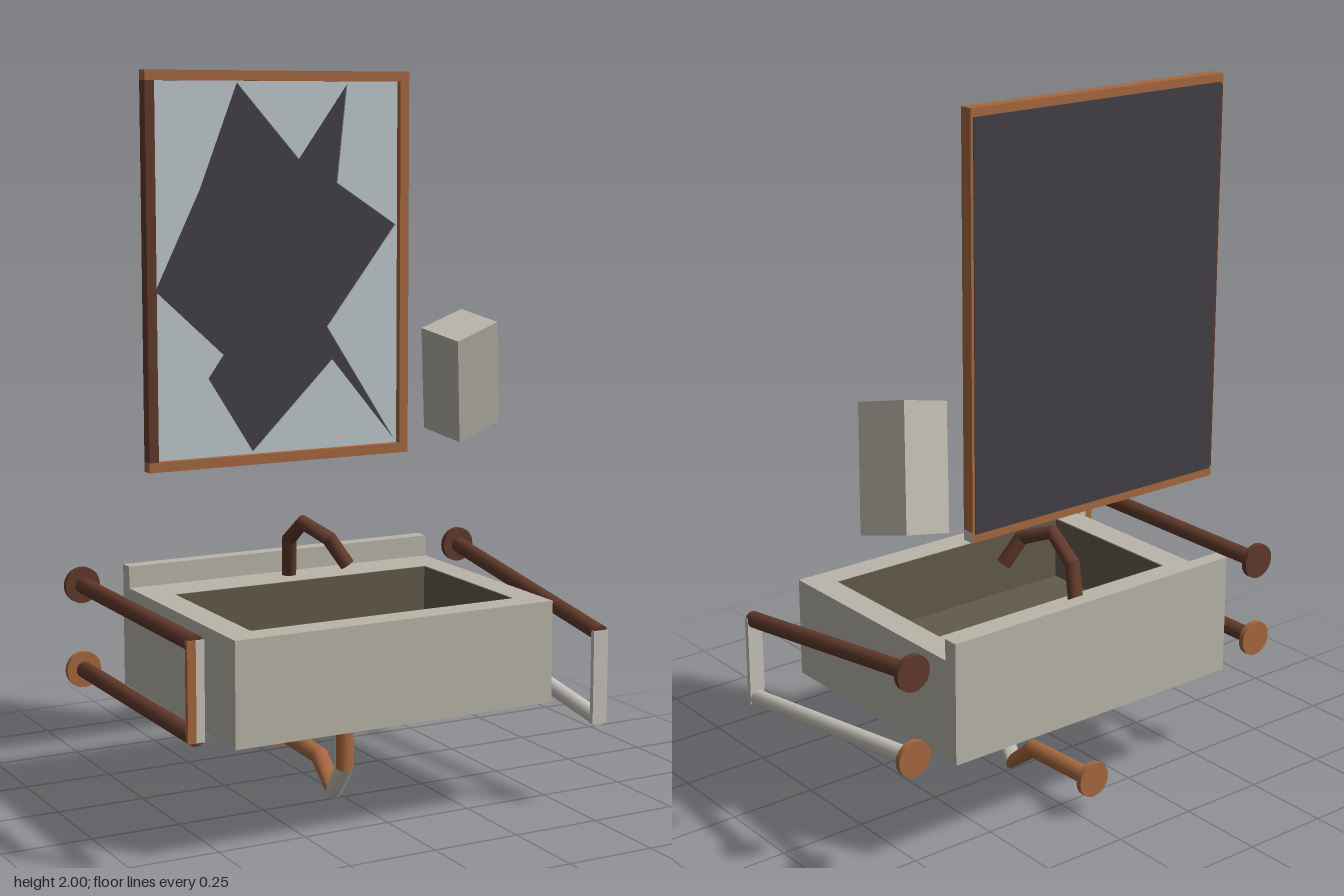
import * as THREE from 'three';
import { toCreasedNormals } from 'three/addons/utils/BufferGeometryUtils.js';

const mat = (name, color) => {
  const m = new THREE.MeshStandardMaterial({ color });
  m.name = name;
  return m;
};
const V = (x, y, z) => new THREE.Vector3(x, y, z);

export function createModel() {
  const root = new THREE.Group();
  const stone = mat('stone', 0xb9b5a9);
  const steel = mat('bareSteel', 0xc6c3b9);
  const copper = mat('copperRust', 0xa6683f);
  const brown = mat('darkRust', 0x613a2b);
  const basinMat = mat('basinGrime', 0x625b4a);
  const glass = mat('mirrorGlass', 0xbec8cc);
  const backing = mat('mirrorBacking', 0x424046);

  const group = (name) => {
    const g = new THREE.Group();
    g.name = name;
    root.add(g);
    return g;
  };
  const add = (parent, name, geo, material) => {
    const m = new THREE.Mesh(geo, material);
    m.name = name;
    parent.add(m);
    return m;
  };
  // Box given by its minimum and maximum corners
  const block = (parent, name, a, b, material) => {
    const m = add(parent, name, new THREE.BoxGeometry(b[0] - a[0], b[1] - a[1], b[2] - a[2]), material);
    m.position.set((a[0] + b[0]) / 2, (a[1] + b[1]) / 2, (a[2] + b[2]) / 2);
    return m;
  };
  // Pipe with one piece per segment, joined on the bisecting planes.
  // Each material entry is a material, or a list of [material, start, length] arcs.
  const pipe = (parent, name, pts, r, mats) => {
    const frames = pts.map((p, i) => {
      const t = V(0, 0, 0);
      if (i > 0) t.add(p.clone().sub(pts[i - 1]).normalize());
      if (i < pts.length - 1) t.add(pts[i + 1].clone().sub(p).normalize());
      t.normalize();
      const v = V(1, 0, 0).cross(t).normalize();
      return { p, u: t.clone().cross(v), v };
    });
    for (let i = 0; i < pts.length - 1; i++) {
      const entry = mats[i % mats.length];
      const arcs = Array.isArray(entry) ? entry : [[entry, 0, Math.PI * 2]];
      for (const [material, start, length] of arcs) {
        const geo = new THREE.CylinderGeometry(r, r, 1, 14, 1, false, start, length);
        const pos = geo.attributes.position;
        for (let k = 0; k < pos.count; k++) {
          const f = frames[pos.getY(k) > 0 ? i + 1 : i];
          const q = f.p.clone().addScaledVector(f.u, pos.getX(k)).addScaledVector(f.v, pos.getZ(k));
          pos.setXYZ(k, q.x, q.y, q.z);
        }
        add(parent, name, toCreasedNormals(geo, 0.9), material);
      }
    }
  };
  // Round wall plate
  const flange = (parent, x, y, material) => {
    const geo = new THREE.CylinderGeometry(0.05, 0.05, 0.016, 20).rotateX(Math.PI / 2);
    add(parent, 'wallFlange', toCreasedNormals(geo, 0.9), material).position.set(x, y, -0.347);
  };
  const rectPath = (Type, x0, y0, x1, y1) => {
    const s = new Type();
    s.moveTo(x0, y0);
    s.lineTo(x1, y0);
    s.lineTo(x1, y1);
    s.lineTo(x0, y1);
    s.closePath();
    return s;
  };

  // Sink: solid base, rim with an opening, raised back ledge
  const sink = group('sink');
  const floorY = 0.4, rimY = 0.587;
  const [bx0, bx1, bz0, bz1] = [-0.425, 0.364, -0.183, 0.292];
  block(sink, 'sinkBase', [-0.505, 0.305, -0.355], [0.441, floorY, 0.368], stone);
  const rim = rectPath(THREE.Shape, -0.505, -0.368, 0.441, 0.355);
  rim.holes.push(rectPath(THREE.Path, bx0, -bz1, bx1, -bz0));
  const rimGeo = new THREE.ExtrudeGeometry(rim, { depth: rimY - floorY, bevelEnabled: false });
  add(sink, 'sinkRim', rimGeo.rotateX(-Math.PI / 2), stone).position.y = floorY;
  block(sink, 'backLedge', [-0.505, rimY, -0.355], [0.441, 0.647, -0.312], stone);

  // Stained basin lining
  const t = 0.004, top = rimY - 0.001;
  block(sink, 'basinFloor', [bx0, floorY, bz0], [bx1, floorY + t, bz1], basinMat);
  for (const x of [bx0, bx1 - t]) block(sink, 'basinSide', [x, floorY, bz0], [x + t, top, bz1], basinMat);
  for (const z of [bz0, bz1 - t]) block(sink, 'basinEnd', [bx0, floorY, z], [bx1, top, z + t], basinMat);
  add(sink, 'drain', new THREE.CylinderGeometry(0.052, 0.052, 0.008, 24), copper)
    .position.set(-0.03, floorY + 0.007, 0.055);

  // Bent faucet
  pipe(group('faucet'), 'faucetPipe', [
    V(-0.032, 0.57, -0.272), V(-0.055, 0.7, -0.222), V(-0.06, 0.762, -0.13),
    V(-0.022, 0.728, -0.045), V(0.022, 0.655, -0.022),
  ], 0.021, [brown]);

  // Drain trap under the sink, worn to steel on one side
  const trap = group('drainTrap');
  pipe(trap, 'trapPipe', [
    V(-0.03, 0.31, 0.058), V(-0.03, 0.108, 0.058), V(-0.03, 0.027, 0),
    V(-0.03, 0.1, -0.09), V(-0.03, 0.11, -0.345),
  ], 0.026, [
    [[copper, Math.PI * 0.65, Math.PI * 0.85], [steel, -Math.PI * 0.5, Math.PI * 1.15]],
    steel, copper, copper,
  ]);
  flange(trap, -0.03, 0.11, copper);

  // Grab bars: the left one has sagged
  const grabBar = (name, x, sag, lowerMat, plates) => {
    const g = group(name);
    const ends = [[0.603, brown, brown], [0.365, lowerMat, copper]];
    for (const [y, barMat, flangeMat] of ends) {
      pipe(g, 'bar', [V(x, y, -0.345), V(x, y - sag, 0.408)], 0.023, [barMat]);
      flange(g, x, y, flangeMat);
    }
    for (const [x0, x1, m] of plates) {
      block(g, 'endStrap', [x + x0, 0.352 - sag, 0.397], [x + x1, 0.612 - sag, 0.411], m);
    }
  };
  grabBar('rightGrabBar', -0.631, 0, brown, [[-0.023, 0, copper], [0, 0.023, steel]]);
  grabBar('leftGrabBar', 0.571, 0.113, steel, [[-0.023, 0.023, steel]]);

  // Mirror frame
  const mirror = group('mirror');
  const [zb, zf, w] = [-0.347, -0.311, 0.028];
  const [mx0, mx1, my0, my1] = [-0.44, 0.378, 0.903, 2];
  block(mirror, 'frameTop', [mx0, my1 - w, zb], [mx1, my1, zf], copper);
  block(mirror, 'frameBottom', [mx0, my0, zb], [mx1, my0 + w, zf],
    [steel, copper, copper, copper, copper, copper]);
  block(mirror, 'frameRight', [mx0, my0 + w, zb], [mx0 + w, my1 - w, zf], brown);
  block(mirror, 'frameLeft', [mx1 - w, my0 + w, zb], [mx1, my1 - w, zf], copper);
  block(mirror, 'backPanel', [mx0 + 0.008, my0 + 0.022, zb - 0.002], [mx1 - 0.008, my1 - 0.022, zb], backing);
  block(mirror, 'backingBoard', [mx0 + w, my0 + w, zb], [mx1 - w, my1 - w, -0.336], backing);

  // Remaining glass around a jagged missing piece
  const pane = rectPath(THREE.Shape, mx0 + w, my0 + w, mx1 - w, my1 - w);
  pane.holes.push(new THREE.Path([
    [-0.157, 1.968], [0.034, 1.757], [0.188, 1.966], [0.156, 1.688], [0.346, 1.566],
    [0.124, 1.28], [0.345, 0.938], [0.14, 1.185], [-0.114, 0.936], [-0.251, 1.153],
    [-0.204, 1.217], [-0.408, 1.402], [-0.272, 1.677],
  ].map(([x, y]) => new THREE.Vector2(x, y))));
  add(mirror, 'glassShards', new THREE.ExtrudeGeometry(pane, { depth: 0.006, bevelEnabled: false }), glass)
    .position.z = -0.336;

  // Dispenser hanging askew from the wall
  const dispenser = add(root, 'dispenser', new THREE.BoxGeometry(0.172, 0.326, 0.142), stone);
  const xAxis = V(0.16, 0.045, -0.043).normalize();
  const zAxis = xAxis.clone().cross(V(-0.077, 0.303, 0.093)).normalize();
  const yAxis = zAxis.clone().cross(xAxis);
  dispenser.quaternion.setFromRotationMatrix(new THREE.Matrix4().makeBasis(xAxis, yAxis, zAxis));
  dispenser.position.set(0.538, 1.122, -0.28);

  return root;
}
